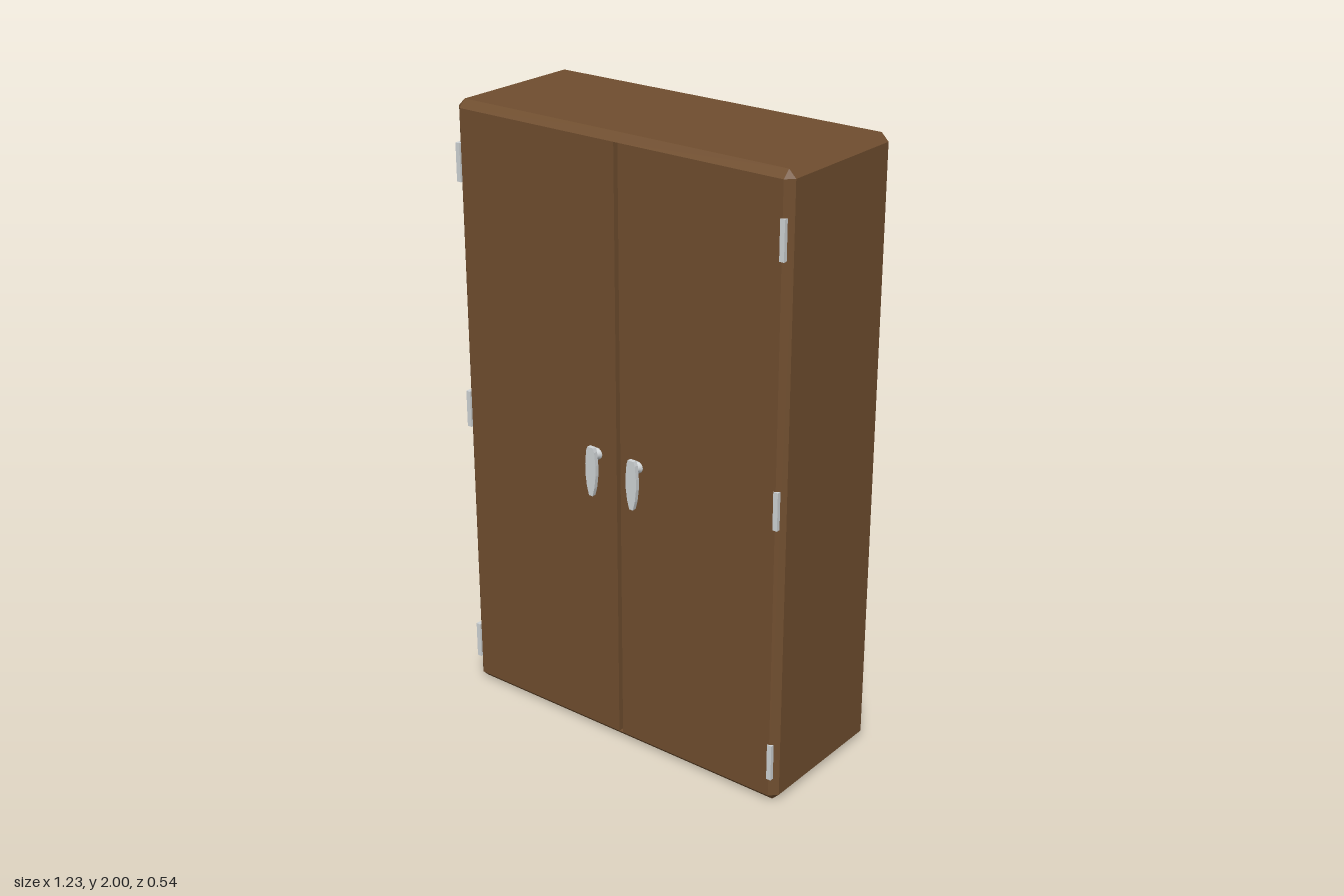
import * as THREE from 'three';
import { ConvexGeometry } from 'three/addons/geometries/ConvexGeometry.js';

// Cabinet extents and the width of its bevelled edges
const W = 0.615, H = 2, FRONT = 0.235, BACK = -0.27, C = 0.024;
const SEAM = FRONT - C;
const GAP = [0.005, 0.02];

export function createModel() {
  const model = new THREE.Group();
  const wood = new THREE.MeshStandardMaterial({ color: 0x704e2f });
  wood.name = 'brownWood';
  const metal = new THREE.MeshStandardMaterial({ color: 0xd0d4d6 });
  metal.name = 'paleMetal';

  const add = (name, geometry, material, parent = model) => {
    const mesh = new THREE.Mesh(geometry, material);
    mesh.name = name;
    parent.add(mesh);
    return mesh;
  };
  const hull = (points) => new ConvexGeometry(points.map((p) => new THREE.Vector3(...p)));

  // Carcass: bevelled box that stops where the door bevel begins
  const body = [];
  for (const s of [-1, 1]) {
    for (const [y, yIn] of [[0, C], [H, H - C]]) {
      const x = s * W, xIn = s * (W - C);
      body.push([x, yIn, SEAM], [xIn, y, SEAM]);
      body.push([x, yIn, BACK + C], [xIn, y, BACK + C], [xIn, yIn, BACK]);
    }
  }
  add('carcass', hull(body), wood);

  // Doors: bevelled slabs on either side of the narrow gap
  for (const [name, s, inner] of [['rightDoor', -1, GAP[0]], ['leftDoor', 1, GAP[1]]]) {
    const points = [];
    for (const [y, yIn] of [[0, C], [H, H - C]]) {
      points.push([s * W, yIn, SEAM], [s * (W - C), y, SEAM], [s * (W - C), yIn, FRONT]);
      points.push([inner, y, SEAM], [inner, yIn, FRONT]);
    }
    add(name, hull(points), wood);
  }

  // Small wedges close the gap along the top and bottom bevels
  for (const [name, y, yIn] of [['bottomGapEnd', 0, C], ['topGapEnd', H, H - C]]) {
    const points = [];
    for (const x of GAP) points.push([x, y, SEAM], [x, yIn, SEAM], [x, yIn, FRONT]);
    add(name, hull(points), wood);
  }

  // Hinges: three on each outer edge
  const hingeShape = new THREE.BoxGeometry(0.016, 0.122, 0.018);
  for (const x of [-0.603, 0.593]) {
    for (const y of [0.145, 0.993, 1.806]) {
      add('hinge', hingeShape, metal).position.set(x, y, 0.229);
    }
  }

  // Handles: a waisted stem carrying a long tapered grip
  const half = [[0.011, 0.082], [0.016, 0.068], [0.02, 0.025], [0.02, -0.01], [0.015, -0.05], [0.007, -0.08]];
  const outline = [...half, ...half.map(([x, y]) => [-x, y]).reverse()];
  const grip = new THREE.Shape(outline.map(([x, y]) => new THREE.Vector2(x, y)));
  const gripShape = new THREE.ExtrudeGeometry(grip, { depth: 0.014, bevelEnabled: false });
  const stemShape = new THREE.LatheGeometry(
    [[0.019, -0.004], [0.019, 0.006], [0.014, 0.014], [0.016, 0.024]].map(([r, y]) => new THREE.Vector2(r, y)), 16);
  stemShape.rotateX(Math.PI / 2);
  for (const [name, x] of [['rightHandle', -0.07], ['leftHandle', 0.088]]) {
    const handle = new THREE.Group();
    handle.name = name;
    handle.position.set(x, 0.937, FRONT);
    add('grip', gripShape, metal, handle).position.z = 0.021;
    add('stem', stemShape, metal, handle).position.y = 0.05;
    model.add(handle);
  }
  return model;
}
